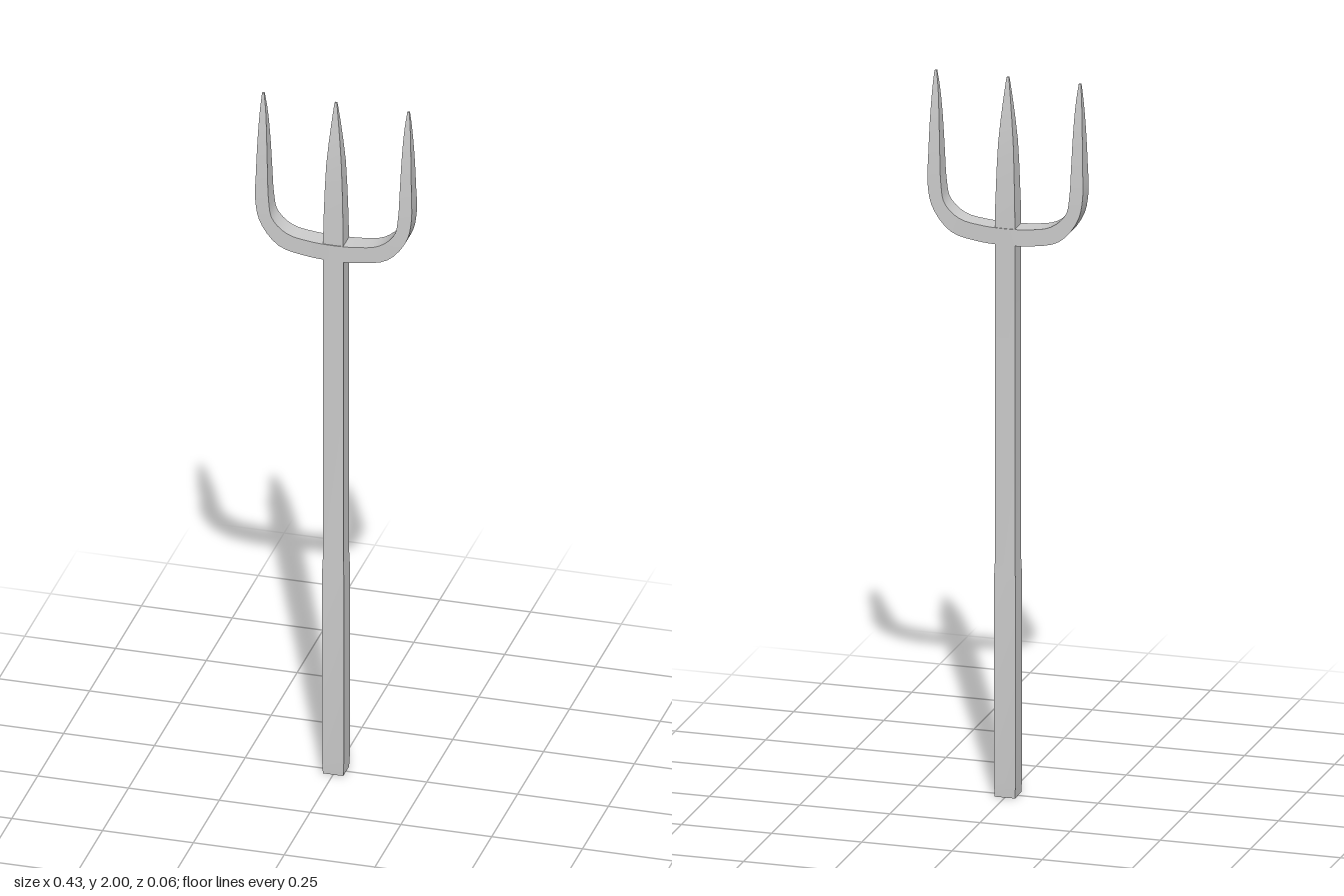
import * as THREE from 'three';
import { toCreasedNormals } from 'three/addons/utils/BufferGeometryUtils.js';

const material = new THREE.MeshStandardMaterial({ color: 0xcccccc });

// Four-sided loft between two edge lines in the xy plane; z of each point is the half depth.
// Edge a lies to the left of the direction of travel, edge b to the right.
function loft(name, a, b) {
  const positions = [], index = [];
  a.forEach((p, i) => {
    const q = b[i];
    positions.push(p.x, p.y, p.z, q.x, q.y, q.z, q.x, q.y, -q.z, p.x, p.y, -p.z);
  });
  const quad = (i, j, k, l) => index.push(i, j, k, i, k, l);
  for (let i = 0; i < a.length - 1; i++) {
    for (let s = 0; s < 4; s++) {
      const t = (s + 1) % 4, o = i * 4;
      quad(o + s, o + t, o + 4 + t, o + 4 + s);
    }
  }
  const e = (a.length - 1) * 4;
  quad(3, 2, 1, 0);
  quad(e, e + 1, e + 2, e + 3);
  const geometry = new THREE.BufferGeometry();
  geometry.setAttribute('position', new THREE.Float32BufferAttribute(positions, 3));
  geometry.setIndex(index);
  const mesh = new THREE.Mesh(toCreasedNormals(geometry, Math.PI / 5), material);
  mesh.name = name;
  return mesh;
}

// Upright square bar from [height, half width] pairs
function bar(name, profile) {
  const edge = (side) => profile.map(([y, h]) => new THREE.Vector3(side * h, y, h));
  return loft(name, edge(-1), edge(1));
}

// Mirrors a left-hand half line and smooths it into one curve
function mirroredCurve(half) {
  const left = half.map((p) => new THREE.Vector3(...p));
  const right = half.slice(0, -1).reverse().map(([x, y, z]) => new THREE.Vector3(-x, y, z));
  return new THREE.CatmullRomCurve3([...left, ...right], false, 'centripetal').getPoints(56);
}

export function createModel() {
  const group = new THREE.Group();
  group.name = 'trident';

  // Square shaft with a slightly thicker grip
  group.add(bar('shaft', [[0, 0.028], [0.04, 0.03], [0.6, 0.03], [0.65, 0.028], [1.56, 0.028]]));

  // Middle prong tapering to a small blunt point
  group.add(bar('centerProng', [
    [1.56, 0.028], [1.65, 0.027], [1.75, 0.024], [1.82, 0.021],
    [1.88, 0.016], [1.94, 0.01], [1.985, 0.005], [2, 0.003],
  ]));

  // Outer prongs and the curved crosspiece: inner and outer edges, each [x, y, half depth]
  const inner = [
    [-0.197, 2, 0.003], [-0.191, 1.95, 0.009], [-0.186, 1.87, 0.017], [-0.182, 1.77, 0.023],
    [-0.178, 1.69, 0.026], [-0.168, 1.64, 0.027], [-0.127, 1.602, 0.028], [-0.065, 1.589, 0.029], [0, 1.586, 0.03],
  ];
  const outer = [
    [-0.203, 2, 0.003], [-0.207, 1.95, 0.009], [-0.211, 1.87, 0.017], [-0.214, 1.77, 0.023],
    [-0.215, 1.69, 0.026], [-0.201, 1.625, 0.027], [-0.15, 1.563, 0.028], [-0.075, 1.544, 0.029], [0, 1.54, 0.03],
  ];
  group.add(loft('sideProngs', mirroredCurve(inner), mirroredCurve(outer)));

  return group;
}
